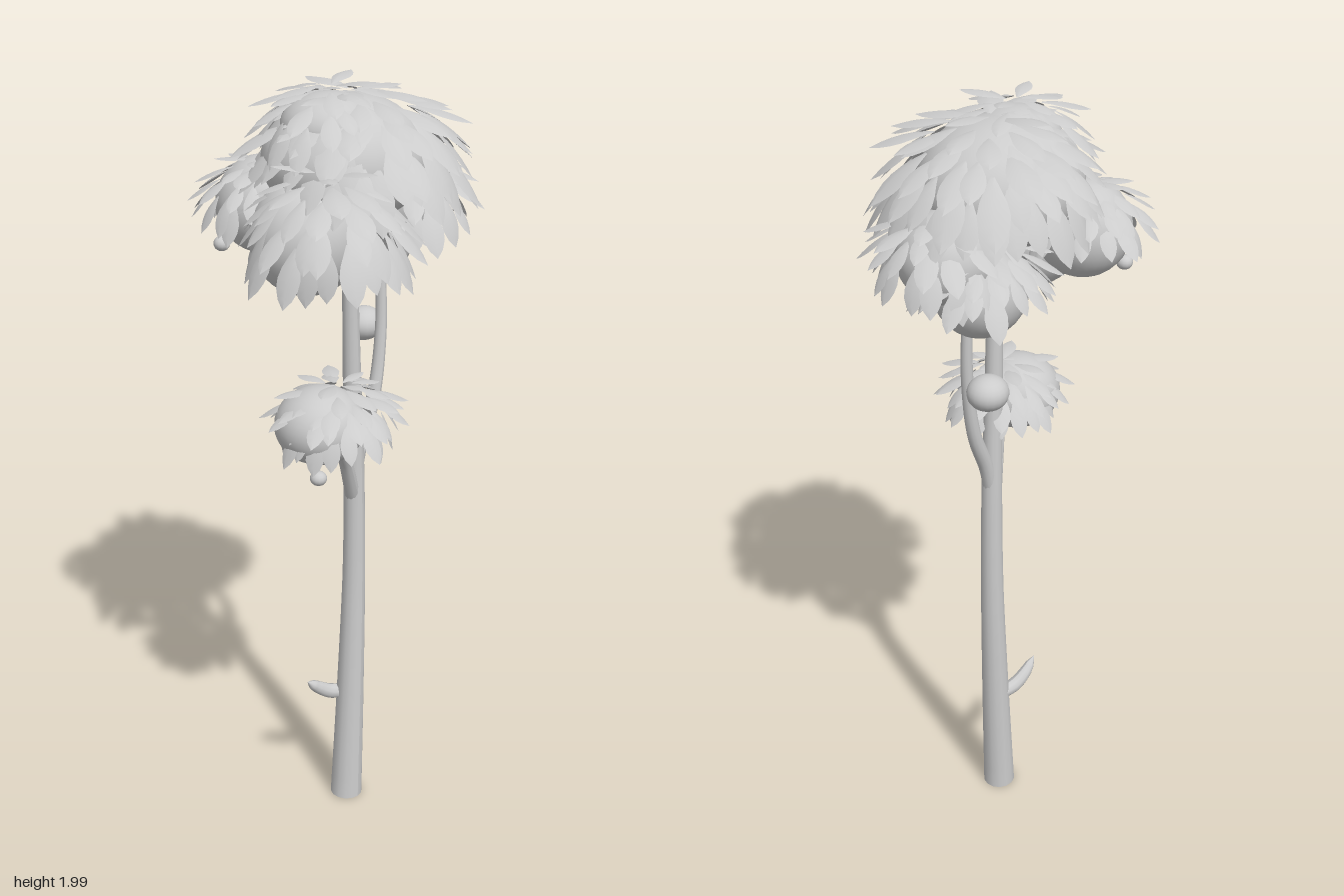
import * as THREE from 'three';
import { mergeGeometries } from 'three/addons/utils/BufferGeometryUtils.js';

const V = (x, y, z) => new THREE.Vector3(x, y, z);
const bark = new THREE.MeshStandardMaterial({ color: 0xcccccc });
const leafMat = new THREE.MeshStandardMaterial({ color: 0xcccccc, side: THREE.DoubleSide });

// Small seeded generator, -1..1
let seed = 7;
const jitter = () => {
  seed = (seed * 16807) % 2147483647;
  return (seed / 2147483647) * 2 - 1;
};

// Round limb along a curve, its radius interpolated through a list
function limb(name, points, radii, sides = 14) {
  const curve = new THREE.CatmullRomCurve3(points.map(p => V(...p)));
  const steps = 28;
  const geo = new THREE.TubeGeometry(curve, steps, 1, sides);
  const pos = geo.attributes.position;
  const p = V(0, 0, 0);
  for (let i = 0; i <= steps; i++) {
    const c = curve.getPointAt(i / steps);
    const f = (i / steps) * (radii.length - 1);
    const k = Math.min(Math.floor(f), radii.length - 2);
    const r = THREE.MathUtils.lerp(radii[k], radii[k + 1], f - k);
    for (let j = 0; j <= sides; j++) {
      const n = i * (sides + 1) + j;
      p.fromBufferAttribute(pos, n).sub(c).multiplyScalar(r).add(c);
      pos.setXYZ(n, p.x, p.y, p.z);
    }
  }
  geo.computeVertexNormals();
  const mesh = new THREE.Mesh(geo, bark);
  mesh.name = name;
  return mesh;
}

function ball(name, center, radii, detail = 28) {
  const mesh = new THREE.Mesh(new THREE.SphereGeometry(1, detail, Math.round(detail * 0.65)), bark);
  mesh.position.set(...center);
  mesh.scale.set(...radii);
  mesh.name = name;
  return mesh;
}

// Pointed, cupped, drooping leaf of unit length along +z
function leafGeometry() {
  const geo = new THREE.PlaneGeometry(1, 1, 2, 6);
  const pos = geo.attributes.position;
  for (let i = 0; i < pos.count; i++) {
    const t = 0.5 - pos.getY(i);
    const half = 0.03 + 0.19 * Math.sin(Math.PI * Math.pow(t, 1.15));
    const side = pos.getX(i) * 2;
    const x = side * half * (t > 0.99 ? 0 : 1);
    pos.setXYZ(i, x, -0.25 * t * t - Math.abs(x) * 0.25, t);
  }
  geo.computeVertexNormals();
  return geo;
}

// Rounded core thatched with rings of overlapping leaves
function foliage(name, center, core, { rings, length, reach = 1.35, shift = [0, 0, 0], dome = core }) {
  const group = new THREE.Group();
  group.name = name;
  group.position.set(...center);
  group.add(ball('foliageCore', [0, 0, 0], core));
  const leaf = leafGeometry();
  const leaves = [];
  for (let r = 0; r < rings; r++) {
    const count = 5 + r * 4;
    for (let i = 0; i < count; i++) {
      const polar = 0.1 + (r / (rings - 1)) * reach * 0.92 + jitter() * 0.1;
      const turn = ((i + (r % 2) * 0.5 + jitter() * 0.3) / count) * Math.PI * 2;
      const sp = Math.sin(polar), cp = Math.cos(polar);
      const base = V(sp * Math.cos(turn) * dome[0], cp * dome[1], sp * Math.sin(turn) * dome[2]);
      const normal = V(base.x / dome[0] ** 2, base.y / dome[1] ** 2, base.z / dome[2] ** 2).normalize();
      const down = V(cp * Math.cos(turn) * dome[0], -sp * dome[1], cp * Math.sin(turn) * dome[2]).normalize();
      const dir = down.addScaledVector(normal, 0.34 + 0.2 * sp + jitter() * 0.22).normalize();
      const side = V(0, 0, 0).crossVectors(normal, dir).normalize();
      const up = V(0, 0, 0).crossVectors(dir, side);
      const size = length * (0.95 + 0.15 * sp + jitter() * 0.18);
      const m = new THREE.Matrix4().makeBasis(side, up, dir)
        .scale(V(size, size, size))
        .setPosition(base.add(V(...shift)));
      leaves.push(leaf.clone().applyMatrix4(m));
    }
  }
  const mesh = new THREE.Mesh(mergeGeometries(leaves), leafMat);
  mesh.name = 'leaves';
  group.add(mesh);
  return group;
}

export function createModel() {
  seed = 7;
  const tree = new THREE.Group();
  tree.name = 'tree';

  // Trunk with closed foot, and its limbs
  tree.add(limb('trunk',
    [[-0.003, 0, 0.012], [0.013, 0.35, 0.012], [0.025, 0.7, 0.012], [0.023, 1, 0.013], [0.01, 1.3, 0.015], [-0.003, 1.75, 0.015]],
    [0.044, 0.037, 0.03, 0.026, 0.021, 0.017]));
  const foot = new THREE.Mesh(new THREE.CircleGeometry(0.044, 14), bark);
  foot.rotation.x = Math.PI / 2;
  foot.position.set(-0.003, 0.001, 0.012);
  foot.name = 'trunkFoot';
  tree.add(foot);
  tree.add(limb('tallBranch',
    [[0.022, 0.98, 0.013], [0.045, 1.07, 0.014], [0.09, 1.18, 0.016], [0.117, 1.35, 0.015], [0.122, 1.58, 0.005]],
    [0.02, 0.019, 0.016, 0.014, 0.012], 12));
  tree.add(limb('lowBranch',
    [[0.018, 0.93, 0.013], [-0.035, 1.04, 0.04], [-0.085, 1.12, 0.065], [-0.12, 1.2, 0.07]],
    [0.02, 0.018, 0.015, 0.012], 12));
  tree.add(limb('twig',
    [[0.015, 0.325, 0], [-0.035, 0.338, -0.02], [-0.07, 0.362, -0.03], [-0.108, 0.396, -0.033]],
    [0.016, 0.019, 0.02, 0.019, 0.017, 0.013, 0.001], 10));

  // Leafy crowns
  tree.add(foliage('topCrown', [0, 1.8, 0], [0.2, 0.15, 0.19],
    { rings: 6, length: 0.135, dome: [0.19, 0.15, 0.19], shift: [0.03, 0.005, 0.01] }));
  tree.add(foliage('topTuft', [-0.055, 1.885, 0], [0.11, 0.075, 0.11],
    { rings: 4, length: 0.1, dome: [0.12, 0.09, 0.115] }));
  tree.add(foliage('rightCrown', [-0.13, 1.647, 0.005], [0.14, 0.138, 0.13],
    { rings: 5, length: 0.115, reach: 1.45, dome: [0.14, 0.14, 0.145], shift: [-0.015, 0.02, 0.075] }));
  tree.add(foliage('leftLowerCrown', [0.12, 1.592, -0.03], [0.115, 0.115, 0.11],
    { rings: 4, length: 0.1, reach: 1.15, shift: [0.01, 0.01, -0.01] }));
  tree.add(foliage('leftCrown', [0.19, 1.68, 0.015], [0.11, 0.107, 0.113],
    { rings: 4, length: 0.1, shift: [0, -0.01, 0.02] }));
  tree.add(foliage('backCrown', [-0.115, 1.69, -0.15], [0.115, 0.115, 0.115],
    { rings: 4, length: 0.085, reach: 1.25, dome: [0.11, 0.1, 0.105], shift: [-0.015, 0.005, -0.005] }));
  tree.add(foliage('lowCrown', [-0.145, 1.195, 0.055], [0.112, 0.095, 0.11],
    { rings: 5, length: 0.085, dome: [0.115, 0.085, 0.105], shift: [0.04, 0.01, 0.015] }));

  // Hanging fruit
  tree.add(ball('fruit', [0.143, 1.345, -0.065], [0.052, 0.043, 0.05], 20));
  tree.add(ball('lowPod', [-0.2, 1.086, 0.1], [0.021, 0.018, 0.021], 14));
  tree.add(ball('backPod', [-0.19, 1.595, -0.22], [0.02, 0.018, 0.02], 14));

  return tree;
}
